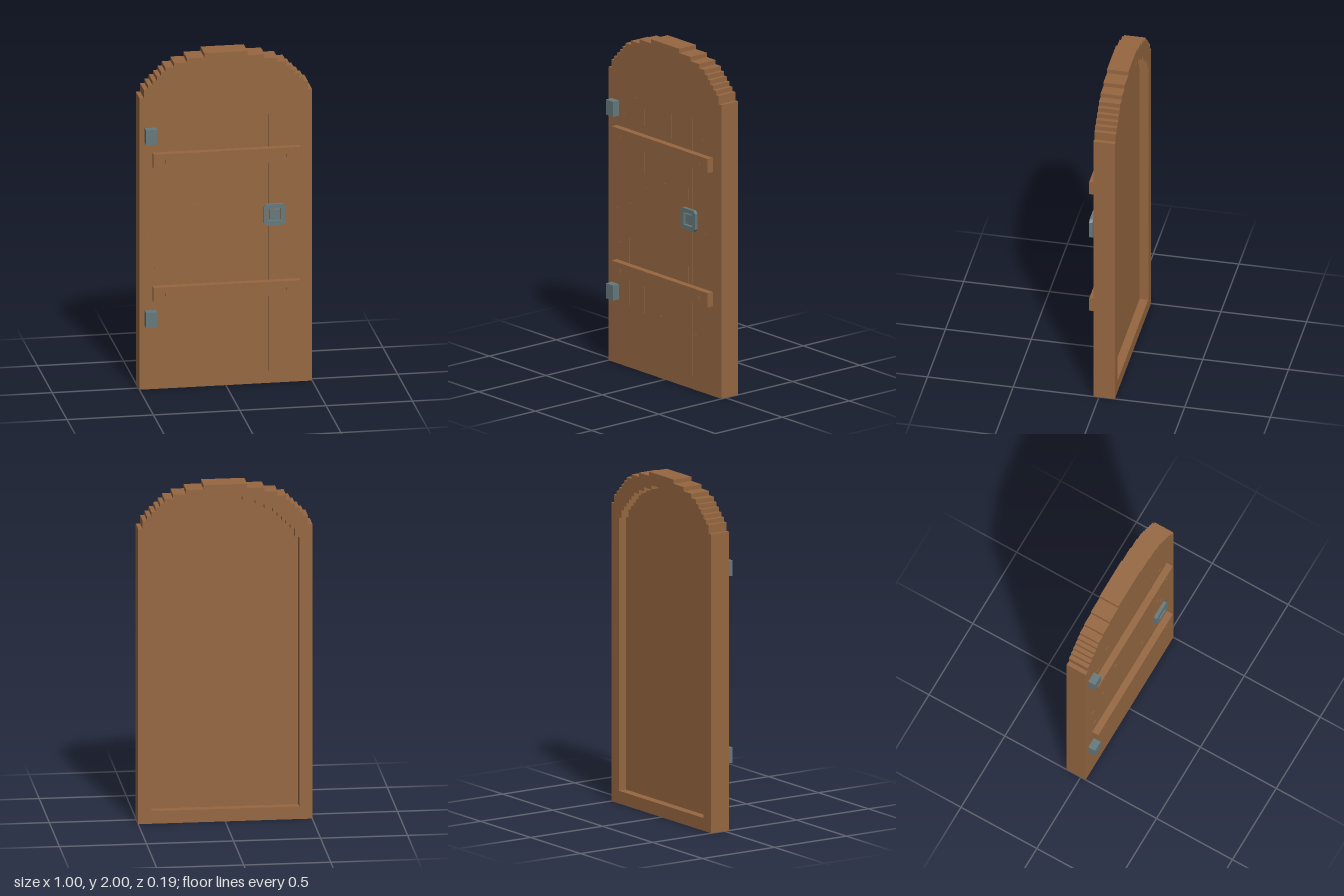
import * as THREE from 'three';

export function createModel() {
  const door = new THREE.Group();
  door.name = 'archedDoor';
  const wood = new THREE.MeshStandardMaterial({ color: 0x966741 });
  wood.name = 'wood';
  const iron = new THREE.MeshStandardMaterial({ color: 0x66787b });
  iron.name = 'iron';

  const BACK = -0.0925, FRONT = 0.0325, RECESS = 0.05;

  function add(name, geometry, material) {
    const mesh = new THREE.Mesh(geometry, material);
    mesh.name = name;
    door.add(mesh);
    return mesh;
  }
  // box given by its lower and upper limits
  function box(name, material, x0, x1, y0, y1, z0, z1) {
    add(name, new THREE.BoxGeometry(x1 - x0, y1 - y0, z1 - z0), material)
      .position.set((x0 + x1) / 2, (y0 + y1) / 2, (z0 + z1) / 2);
  }
  function slab(name, shape, material, z0, z1) {
    add(name, new THREE.ExtrudeGeometry(shape, { depth: z1 - z0, bevelEnabled: false }), material)
      .position.z = z0;
  }

  // Stepped arch outline: half-widths and the height reached at each one
  const heights = [1.75, 1.8, 1.825, 1.85, 1.875, 1.9, 1.925, 1.95, 1.975, 2];
  const outerWidths = [0.5, 0.475, 0.45, 0.425, 0.4, 0.375, 0.35, 0.3, 0.225, 0.125];
  const innerWidths = [0.425, 0.4, 0.375, 0.35, 0.325, 0.3, 0.275, 0.225, 0.175, 0.1];
  function archPoints(widths, bottom, drop) {
    const right = [[widths[0], bottom]];
    widths.forEach((w, i) => {
      if (i > 0) right.push([w, heights[i - 1] - drop]);
      right.push([w, heights[i] - drop]);
    });
    const left = right.map(([x, y]) => [-x, y]).reverse();
    return [...right, ...left].map(([x, y]) => new THREE.Vector2(x, y));
  }

  // Door leaf with a raised frame around the recessed back
  slab('doorPanel', new THREE.Shape(archPoints(outerWidths, 0, 0)), wood, BACK + RECESS, FRONT);
  const frame = new THREE.Shape(archPoints(outerWidths, 0, 0));
  frame.holes.push(new THREE.Path(archPoints(innerWidths, 0.075, 0.075)));
  slab('backFrame', frame, wood, BACK, BACK + RECESS);

  // Cross bars with small pegs, and hinge blocks
  for (const y of [0.535, 1.335]) {
    box('crossBar', wood, -0.425, 0.425, y, y + 0.085, FRONT, 0.0725);
    for (const x of [-0.35, 0.35])
      box('barPeg', wood, x - 0.005, x + 0.005, y + 0.03, y + 0.05, 0.0725, 0.0765);
  }
  for (const y of [0.385, 1.48])
    box('hinge', iron, -0.47, -0.405, y, y + 0.09, FRONT, 0.0775);

  // Ring handle with clipped corners and a square centre
  const cx = 0.273, cy = 1.028;
  const ring = new THREE.Shape();
  const r = 0.0625, c = 0.048;
  [[r, -c], [r, c], [c, r], [-c, r], [-r, c], [-r, -c], [-c, -r], [c, -r]].forEach(([x, y], i) =>
    i ? ring.lineTo(cx + x, cy + y) : ring.moveTo(cx + x, cy + y));
  const h = 0.037;
  ring.holes.push(new THREE.Path([[-h, -h], [-h, h], [h, h], [h, -h]]
    .map(([x, y]) => new THREE.Vector2(cx + x, cy + y))));
  slab('handleRing', ring, iron, 0.0725, 0.0925);
  box('handleCentre', iron, cx - 0.029, cx + 0.029, cy - 0.029, cy + 0.029, 0.0725, 0.0865);

  // Fine plank seams: x, lower y, upper y
  const seams = [
    [0.247, 0.075, 1.62], [-0.178, 1.47, 1.57], [-0.178, 1.19, 1.32], [-0.178, 0.35, 0.54],
    [0.06, 1.45, 1.6], [0.205, 1.12, 1.19], [0.205, 0.62, 0.72], [-0.315, 0.37, 0.77],
  ];
  for (const [x, y0, y1] of seams)
    box('plankSeam', wood, x - 0.002, x + 0.002, y0, y1, FRONT, FRONT + 0.003);

  // Short grain flecks: x, y
  const flecks = [
    [-0.36, 1.5], [-0.26, 1.62], [-0.3, 0.98], [-0.42, 0.93], [-0.4, 0.73], [-0.16, 1.1],
    [-0.03, 0.37], [0.0, 1.17], [0.14, 0.77], [0.27, 0.33], [0.32, 1.04], [0.36, 0.95], [0.34, 1.5],
  ];
  for (const [x, y] of flecks)
    box('grainFleck', wood, x - 0.012, x + 0.012, y - 0.002, y + 0.002, FRONT, FRONT + 0.003);

  return door;
}
